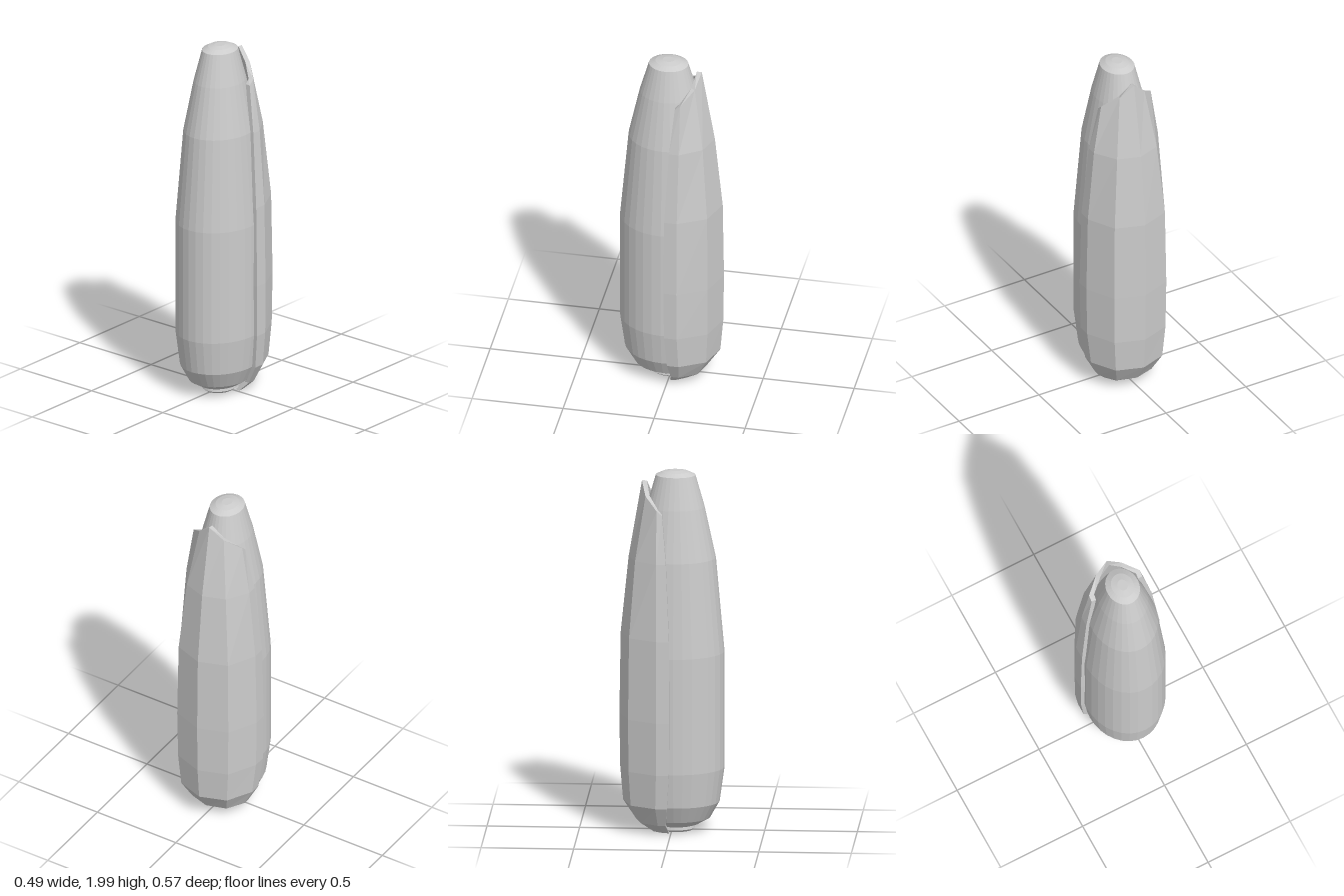
import * as THREE from 'three';

const material = new THREE.MeshStandardMaterial({ color: 0xcccccc, flatShading: true });

// Oval cob with a short stem below and a domed tip
function makeCob() {
  const profile = [
    [0, 0.01], [0.075, 0.01], [0.088, 0.022], [0.085, 0.038], [0.105, 0.045],
    [0.157, 0.08], [0.2, 0.17], [0.222, 0.36], [0.222, 1.0], [0.183, 1.52],
    [0.132, 1.8], [0.09, 1.975], [0.06, 1.992], [0.027, 2.0], [0, 2.0],
  ].map(([r, y]) => new THREE.Vector2(r, y));
  const cob = new THREE.Mesh(new THREE.LatheGeometry(profile, 32), material);
  cob.name = 'cob';
  cob.scale.z = 1.19;
  cob.position.z = 0.019;
  return cob;
}

// Thick half shell wrapped round the back, from cross-sections stacked upward
function makeHusk() {
  const thickness = 0.027;
  // height, half width, back z, front edge z, shoulder share of the width
  const rows = [
    [0.012, 0.112, -0.115, -0.01, 0.66],
    [0.065, 0.165, -0.195, -0.025, 0.66],
    [0.17, 0.22, -0.265, -0.015, 0.66],
    [0.36, 0.241, -0.281, -0.003, 0.66],
    [0.65, 0.245, -0.285, 0, 0.665],
    [1.1, 0.236, -0.278, -0.003, 0.665],
    [1.52, 0.2, -0.235, -0.022, 0.62],
    [1.78, 0.155, -0.163, -0.045, 0.5],
  ];
  const tipLift = [0, 0.025, 0.09, 0.16];

  // Seven points from the left edge over the back to the right edge
  const arc = (y, w, back, front, shoulder, lift) => {
    const half = [[w, 0], [w, 0.25], [w * shoulder, 0.8], [0, 1]].map(([x, t], i) =>
      new THREE.Vector3(x, y + (lift ? tipLift[i] : 0), front + (back - front) * t));
    const mirrored = half.slice(0, 3).reverse().map((p) => new THREE.Vector3(-p.x, p.y, p.z));
    return [...half, ...mirrored];
  };
  const rings = rows.map(([y, w, back, front, shoulder], r) => {
    const lift = r === rows.length - 1;
    const outer = arc(y, w, back, front, shoulder, lift);
    const inner = arc(y, w - thickness, back + thickness, front, shoulder, lift);
    return [...outer, ...inner.reverse()];
  });

  const points = [];
  const quad = (a, b, c, d) => points.push(a, b, c, a, c, d);
  for (let r = 0; r < rings.length - 1; r++) {
    for (let i = 0; i < 14; i++) {
      const j = (i + 1) % 14;
      quad(rings[r][i], rings[r][j], rings[r + 1][j], rings[r + 1][i]);
    }
  }
  // Close the lower and upper rims
  const low = rings[0], top = rings[rings.length - 1];
  for (let i = 0; i < 6; i++) {
    quad(top[i], top[i + 1], top[12 - i], top[13 - i]);
    quad(low[13 - i], low[12 - i], low[i + 1], low[i]);
  }
  const geometry = new THREE.BufferGeometry().setFromPoints(points);
  geometry.computeVertexNormals();
  const husk = new THREE.Mesh(geometry, material);
  husk.name = 'husk';
  return husk;
}

export function createModel() {
  const group = new THREE.Group();
  group.name = 'cornCob';
  group.add(makeCob(), makeHusk());
  return group;
}
